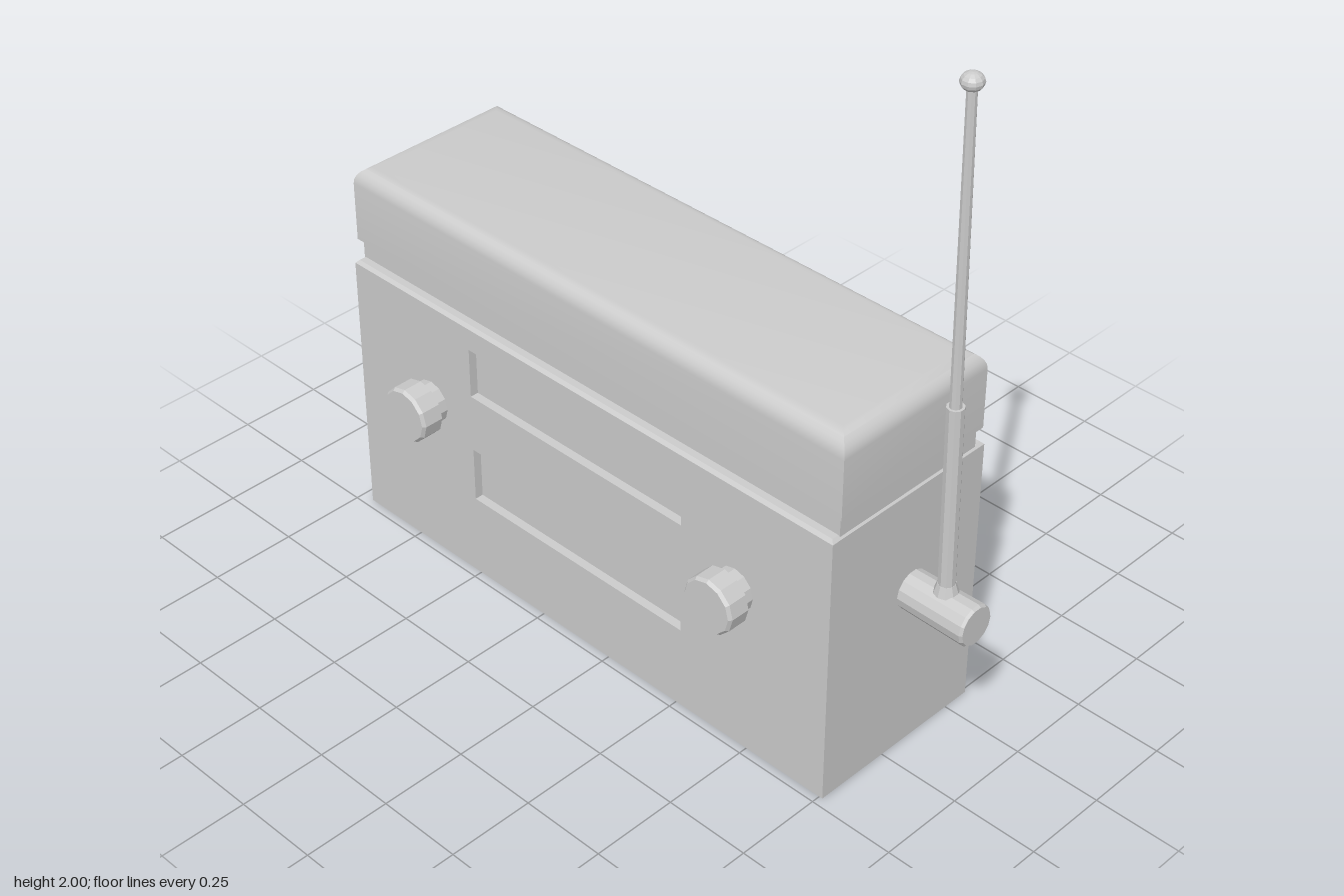
import * as THREE from 'three';
import { toCreasedNormals } from 'three/addons/utils/BufferGeometryUtils.js';

const CX = -0.1, CZ = -0.0525; // centre of the case

export function createModel() {
  const root = new THREE.Group();
  const smooth = new THREE.MeshStandardMaterial({ color: 0xcccccc });
  const flat = new THREE.MeshStandardMaterial({ color: 0xcccccc, flatShading: true });

  const add = (name, geometry, x = 0, y = 0, z = 0, material = smooth, parent = root) => {
    const mesh = new THREE.Mesh(geometry, material);
    mesh.name = name;
    mesh.position.set(x, y, z);
    parent.add(mesh);
    return mesh;
  };

  // Stacked rectangles, each level given as [y, inset], closed at both ends
  const rectLoft = (hx, hz, levels) => {
    const pos = [], index = [];
    for (const [y, d] of levels) {
      const x = hx - d, z = hz - d;
      pos.push(-x, y, z, x, y, z, x, y, -z, -x, y, -z);
    }
    const top = (levels.length - 1) * 4;
    for (let i = 0; i < top; i += 4) {
      for (let k = 0; k < 4; k++) {
        const a = i + k, b = i + (k + 1) % 4;
        index.push(a, b, b + 4, a, b + 4, a + 4);
      }
    }
    index.push(0, 2, 1, 0, 3, 2, top, top + 1, top + 2, top, top + 2, top + 3);
    const g = new THREE.BufferGeometry();
    g.setAttribute('position', new THREE.Float32BufferAttribute(pos, 3));
    g.setIndex(index);
    return toCreasedNormals(g, 0.6);
  };

  // Case: solid core, with a front panel pierced by two shallow windows
  add('caseCore', new THREE.BoxGeometry(1.72, 0.8, 0.53), CX, 0.4, -0.065);
  const rect = (path, x0, y0, x1, y1) =>
    path.moveTo(x0, y0).lineTo(x1, y0).lineTo(x1, y1).lineTo(x0, y1).closePath();
  const panel = rect(new THREE.Shape(), -0.96, 0, 0.76, 0.8);
  for (const [y0, y1] of [[0.59, 0.74], [0.25, 0.415]]) {
    panel.holes.push(rect(new THREE.Path(), -0.51, y0, 0.265, y1));
  }
  add('frontPanel', new THREE.ExtrudeGeometry(panel, { depth: 0.025, bevelEnabled: false }), 0, 0, 0.2);
  add('caseRim', rectLoft(0.86, 0.2775, [[0.8, 0], [0.806, 0], [0.815, 0.009]]), CX, 0, CZ);

  // Recessed neck and lid with rounded upper edges
  add('neck', new THREE.BoxGeometry(1.71, 0.07, 0.495), CX, 0.84, CZ);
  const lidLevels = [[0.862, 0.008], [0.87, 0]];
  for (let i = 0; i <= 6; i++) {
    const a = i / 6 * Math.PI / 2, r = 0.05;
    lidLevels.push([1.045 + r * Math.sin(a), r * (1 - Math.cos(a))]);
  }
  add('lid', rectLoft(0.867, 0.258, lidLevels), CX, 0, CZ);

  // Turning knobs: narrow stem and chamfered cap
  const knobProfile = [[0, 0], [0.062, 0], [0.062, 0.037], [0.081, 0.037],
    [0.081, 0.093], [0.074, 0.102], [0, 0.102]].map(p => new THREE.Vector2(...p));
  const knobGeometry = new THREE.LatheGeometry(knobProfile, 12);
  for (const [name, x] of [['rightKnob', -0.67], ['leftKnob', 0.45]]) {
    add(name, knobGeometry, x, 0.497, 0.224, flat).rotation.x = Math.PI / 2;
  }

  // Antenna pivot sticking out of the side
  const pivotProfile = [[0, 0], [0.055, 0], [0.058, 0.2], [0.053, 0.208], [0, 0.208]]
    .map(p => new THREE.Vector2(...p));
  add('antennaPivot', new THREE.LatheGeometry(pivotProfile, 14), 0.757, 0.497, -0.08, flat)
    .rotation.z = -Math.PI / 2;

  // Telescopic antenna, leaning slightly forward
  const antenna = new THREE.Group();
  antenna.name = 'antenna';
  antenna.position.set(0.866, 0.5, -0.082);
  antenna.rotation.x = 0.025;
  root.add(antenna);
  add('antennaCollar', new THREE.CylinderGeometry(0.024, 0.033, 0.03, 10), 0, 0.063, 0, flat, antenna);
  add('lowerRod', new THREE.CylinderGeometry(0.023, 0.023, 0.57, 10), 0, 0.325, 0, flat, antenna);
  add('upperRod', new THREE.CylinderGeometry(0.013, 0.016, 0.88, 10), 0, 1.04, 0, flat, antenna);
  add('antennaTip', new THREE.SphereGeometry(0.029, 10, 8), 0, 1.478, 0, flat, antenna)
    .scale.y = 0.8;

  return root;
}
